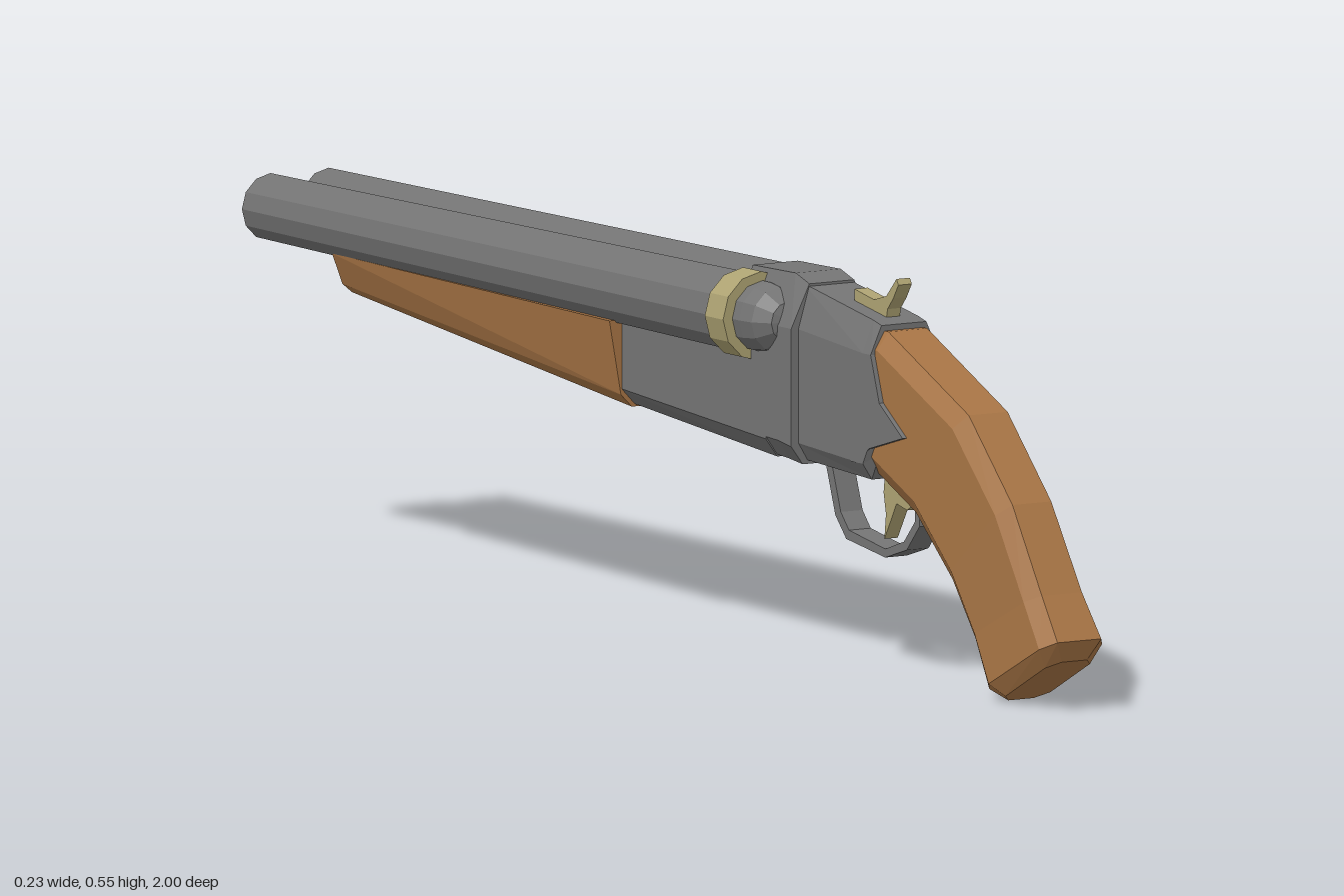
import * as THREE from 'three';

const paint = (color) => new THREE.MeshStandardMaterial({ color, flatShading: true });
const steel = paint(0x747474), wood = paint(0xa87545), brass = paint(0xaea373);

export function createModel() {
  const model = new THREE.Group();

  const add = (name, geometry, material) => {
    const mesh = new THREE.Mesh(geometry, material);
    mesh.name = name;
    model.add(mesh);
    return mesh;
  };

  // Skin between rings; rings run counter-clockwise seen from +z, ordered towards +z
  const loft = (rings) => {
    const pos = [];
    const tri = (a, b, c) => pos.push(...a, ...b, ...c);
    const n = rings[0].length;
    for (let i = 0; i < rings.length - 1; i++) {
      for (let j = 0; j < n; j++) {
        const k = (j + 1) % n, r = rings[i], s = rings[i + 1];
        tri(r[j], r[k], s[k]);
        tri(r[j], s[k], s[j]);
      }
    }
    const first = rings[0], last = rings[rings.length - 1];
    for (let j = 1; j < n - 1; j++) {
      tri(first[0], first[j + 1], first[j]);
      tri(last[0], last[j], last[j + 1]);
    }
    const g = new THREE.BufferGeometry();
    g.setAttribute('position', new THREE.Float32BufferAttribute(pos, 3));
    g.computeVertexNormals();
    return g;
  };

  // Symmetric ring from its +x half, listed bottom to top as [x, y]
  const ring = (z, half) => [
    ...half.map(([x, y]) => [x, y, z]),
    ...half.slice().reverse().map(([x, y]) => [-x, y, z]),
  ];

  // Plate from a [z, y] outline, centred on x with the given width
  const plate = (outline, width, x = 0) => {
    const shape = new THREE.Shape(outline.map(([z, y]) => new THREE.Vector2(-z, y)));
    const g = new THREE.ExtrudeGeometry(shape, { depth: width, bevelEnabled: false });
    g.translate(0, 0, -width / 2);
    g.rotateY(Math.PI / 2);
    g.translate(x, 0, 0);
    return g;
  };

  // Curved grip: back edge and inner edge [z, y], half width, chamfer
  const gripSections = [
    [[0.5, 0.482], [0.49, 0.285], 0.048],
    [[0.56, 0.482], [0.53, 0.283], 0.048],
    [[0.766, 0.39], [0.63, 0.238], 0.048],
    [[0.878, 0.278], [0.725, 0.155], 0.048],
    [[0.955, 0.16], [0.785, 0.08], 0.049],
    [[1.0, 0.1], [0.825, 0.014], 0.052],
    [[0.987, 0.07], [0.85, 0.0], 0.037],
  ];
  add('grip', loft(gripSections.map(([t, b, w]) => {
    const half = [[w - 0.016, 0], [w, 0.13], [w, 0.87], [w - 0.016, 1]];
    const at = ([x, f]) => [x, b[1] + (t[1] - b[1]) * f, b[0] + (t[0] - b[0]) * f];
    const right = half.map(at);
    return [...right, ...right.slice().reverse().map(([x, y, z]) => [-x, y, z])];
  })), wood);

  // Rear half of the receiver
  add('receiver', loft([
    ring(0.35, [[0.04, 0.28], [0.055, 0.305], [0.055, 0.465], [0.037, 0.525]]),
    ring(0.53, [[0.04, 0.272], [0.055, 0.295], [0.055, 0.45], [0.037, 0.495]]),
    ring(0.55, [[0.04, 0.31], [0.055, 0.33], [0.055, 0.45], [0.037, 0.49]]),
  ]), steel);

  // Pointed side plates lapping over the grip
  const point = [[0.5, 0.45], [0.55, 0.45], [0.572, 0.385], [0.632, 0.343], [0.545, 0.318], [0.52, 0.295], [0.5, 0.295]];
  for (const s of [-1, 1]) add('sidePlate', plate(point, 0.014, s * 0.048), steel);

  // Standing block behind the barrels, and the long frame below them
  add('breechBlock', loft([
    ring(0.22, [[0.048, 0.285], [0.066, 0.31], [0.066, 0.465], [0.037, 0.535]]),
    ring(0.33, [[0.048, 0.278], [0.067, 0.305], [0.067, 0.465], [0.037, 0.537]]),
    ring(0.365, [[0.048, 0.274], [0.067, 0.3], [0.067, 0.465], [0.037, 0.526]]),
  ]), steel);
  add('frame', loft([
    ring(-0.1, [[0.045, 0.308], [0.066, 0.33], [0.066, 0.44]]),
    ring(0.3, [[0.048, 0.277], [0.067, 0.303], [0.067, 0.44]]),
  ]), steel);

  // Wooden fore-end tapering towards the muzzle
  add('foreEnd', loft([
    ring(-0.815, [[0.036, 0.393], [0.05, 0.405], [0.066, 0.43]]),
    ring(-0.8, [[0.042, 0.373], [0.058, 0.386], [0.075, 0.43]]),
    ring(-0.07, [[0.05, 0.302], [0.068, 0.32], [0.087, 0.425]]),
  ]), wood);

  // Turned parts lie along -z; profiles are [radius, distance forward]
  const turned = (profile, x) => {
    const g = new THREE.LatheGeometry(profile.map(([r, d]) => new THREE.Vector2(r, d)), 12);
    g.rotateX(-Math.PI / 2);
    g.translate(x, 0.469, 0);
    return g;
  };
  const barrel = [
    [0, -0.336], [0.028, -0.328], [0.046, -0.305], [0.05, -0.28], [0.05, -0.22],
    [0.057, -0.22], [0.047, 1], [0.041, 1], [0.041, 0.1], [0, 0.1],
  ];
  const collar = [[0.045, -0.262], [0.063, -0.262], [0.063, -0.215], [0.045, -0.215], [0.045, -0.262]];
  for (const s of [-1, 1]) {
    add('barrel', turned(barrel, s * 0.048), steel);
    add('collar', turned(collar, s * 0.05), brass);
  }

  // Rib filling the gap between the barrels
  const rib = new THREE.BoxGeometry(0.03, 0.05, 0.8);
  rib.translate(0, 0.476, -0.18);
  add('rib', rib, steel);

  // Hammer
  add('hammer', plate([
    [0.548, 0.553], [0.522, 0.526], [0.49, 0.517], [0.44, 0.526], [0.44, 0.505],
    [0.47, 0.49], [0.52, 0.485], [0.525, 0.508], [0.54, 0.525], [0.553, 0.545],
  ], 0.022), brass);

  // Trigger
  add('trigger', plate([
    [0.57, 0.29], [0.565, 0.262], [0.588, 0.24], [0.575, 0.232], [0.548, 0.238],
    [0.535, 0.215], [0.517, 0.185], [0.521, 0.22], [0.515, 0.25], [0.52, 0.29],
  ], 0.022), brass);

  // Trigger guard: a flat strap, outer edge then inner edge
  const outer = [[0.618, 0.255], [0.618, 0.215], [0.585, 0.178], [0.53, 0.161], [0.43, 0.175], [0.402, 0.205], [0.374, 0.285]];
  const inner = [[0.39, 0.285], [0.416, 0.211], [0.437, 0.188], [0.53, 0.173], [0.578, 0.189], [0.606, 0.22], [0.606, 0.255]];
  add('triggerGuard', plate([...outer, ...inner], 0.036), steel);

  return model;
}
